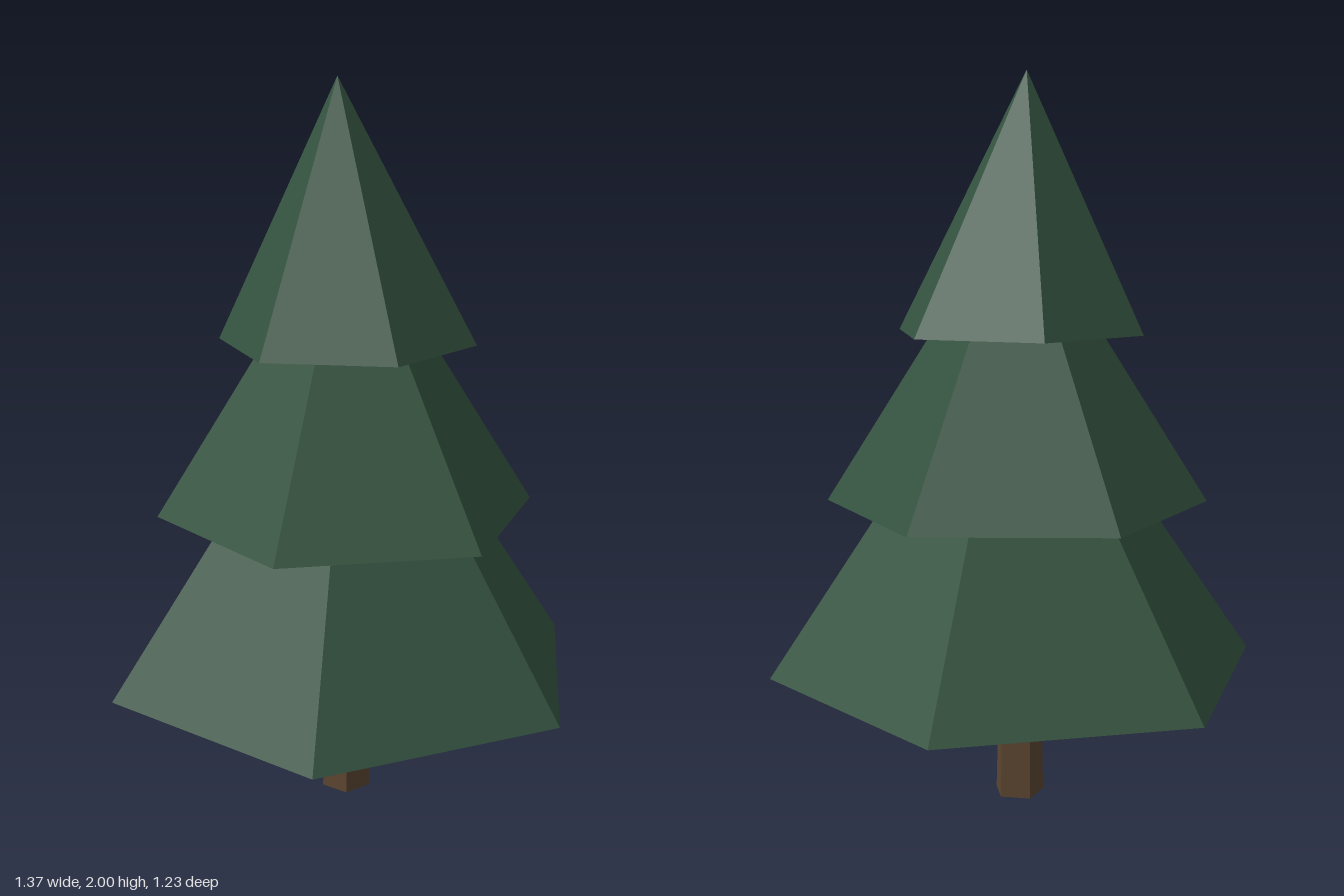
import * as THREE from 'three';

const mat = (name, color) => {
  const m = new THREE.MeshStandardMaterial({ color, flatShading: true });
  m.name = name;
  return m;
};

// Tapered prism standing on its base; its tip or top leans sideways by (leanX, leanZ).
function taper(name, material, { sides, r, rTop = 0, y, height, turn, x = 0, z = 0, leanX = 0, leanZ = 0 }) {
  const geo = rTop > 0
    ? new THREE.CylinderGeometry(rTop, r, height, sides)
    : new THREE.ConeGeometry(r, height, sides);
  geo.rotateY(THREE.MathUtils.degToRad(turn));
  geo.translate(0, height / 2, 0);
  const p = geo.attributes.position;
  for (let i = 0; i < p.count; i++) {
    const t = p.getY(i) / height;
    p.setX(i, p.getX(i) + leanX * t);
    p.setZ(i, p.getZ(i) + leanZ * t);
  }
  geo.computeVertexNormals();
  const mesh = new THREE.Mesh(geo, material);
  mesh.name = name;
  mesh.position.set(x, y, z);
  return mesh;
}

export function createModel() {
  const tree = new THREE.Group();
  tree.name = 'pineTree';
  const bark = mat('bark brown', 0x5c4530);
  const needles = mat('needle green', 0x345340);

  // Five-sided trunk, running up inside the lowest tier
  tree.add(taper('trunk', bark, {
    sides: 5, r: 0.071, rTop: 0.06, y: 0, height: 0.5, turn: -18, x: -0.005, leanX: -0.003,
  }));

  // Three six-sided tiers of branches, each twisted a little
  tree.add(taper('lowerBranches', needles, {
    sides: 6, r: 0.686, y: 0.38, height: 1.0, turn: 33.4, leanX: 0.01,
  }));
  tree.add(taper('middleBranches', needles, {
    sides: 6, r: 0.524, y: 0.845, height: 0.83, turn: 20.2,
  }));
  tree.add(taper('topBranches', needles, {
    sides: 6, r: 0.35, y: 1.31, height: 0.69, turn: 2, x: -0.003, z: -0.002, leanX: -0.022, leanZ: -0.006,
  }));
  return tree;
}
